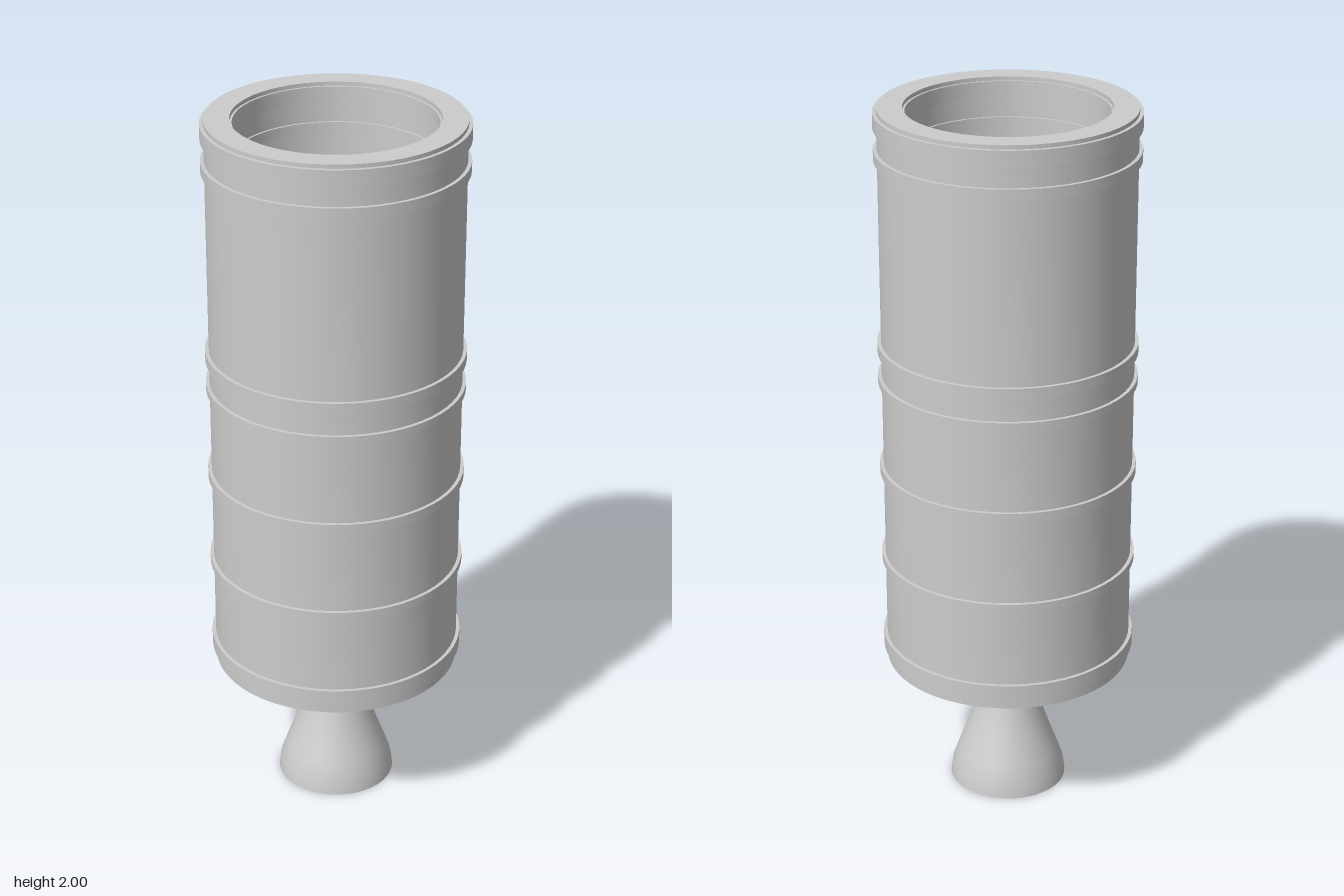
import * as THREE from 'three';
import { toCreasedNormals } from 'three/addons/utils/BufferGeometryUtils.js';

export function createModel() {
  const model = new THREE.Group();
  const grey = new THREE.MeshStandardMaterial({ color: 0xcccccc });
  grey.name = 'light grey';

  const add = (name, geometry, x = 0, y = 0, z = 0) => {
    const mesh = new THREE.Mesh(geometry, grey);
    mesh.name = name;
    mesh.position.set(x, y, z);
    model.add(mesh);
    return mesh;
  };
  // Revolve [radius, height] points, keeping hard corners crisp
  const revolve = (points, segments, crease) => toCreasedNormals(
    new THREE.LatheGeometry(points.map(([r, y]) => new THREE.Vector2(r, y)), segments), crease);

  // Thick open tube whose hoops stand proud on both the outside and the inside
  const OUT = 0.342, IN = 0.274, BAND_OUT = 0.352, BAND_IN = 0.268;
  const BOTTOM = 0.402, TOP = 2;
  const bands = [[0.435, 0.477], [0.706, 0.727], [0.971, 0.997], [1.236, 1.257],
    [1.324, 1.353], [1.86, 1.889], [1.947, 1.989]];
  const wall = (plain, raised) => [[plain, BOTTOM],
    ...bands.flatMap(([a, b]) => [[plain, a], [raised, a], [raised, b], [plain, b]]),
    [plain, TOP]];
  const shell = [...wall(OUT, BAND_OUT), ...wall(IN, BAND_IN).reverse(), [OUT, BOTTOM]];
  add('bandedTube', revolve(shell, 64, 0.6));

  // Bell nozzle with a thin wall and a closed, rounded crown
  const bell = [[0.165, 0], [0.16, 0.04], [0.143, 0.088], [0.124, 0.138], [0.102, 0.2],
    [0.087, 0.25], [0.075, 0.3], [0.069, 0.32], [0.06, 0.337], [0.047, 0.348]];
  const lining = bell.map(([r, y]) => [r - 0.01, Math.max(0, y - 0.008)]).reverse();
  add('nozzle', revolve([[0, 0.342], ...lining, ...bell, [0, 0.35]], 40, 0.7));

  // Gimbal: crossbeam, pivot rod and centre pin
  add('crossbeam', new THREE.BoxGeometry(0.234, 0.044, 0.058), 0, 0.4, 0);
  add('pivotRod', new THREE.CylinderGeometry(0.014, 0.014, 0.33, 16), 0, 0.404, 0)
    .rotation.z = Math.PI / 2;
  add('centrePin', new THREE.CylinderGeometry(0.004, 0.004, 0.04, 8), 0, 0.364, 0);

  // Nozzle legs and the stepped brackets on the inner wall
  for (const [side, s] of [['left', 1], ['right', -1]]) {
    add(side + 'Leg', new THREE.BoxGeometry(0.022, 0.1, 0.036), s * 0.073, 0.33, 0);
    add(side + 'WallBracket', new THREE.BoxGeometry(0.113, 0.24, 0.28), s * 0.2335, 1.0, 0);
    add(side + 'InnerBracket', new THREE.BoxGeometry(0.064, 0.28, 0.206), s * 0.152, 1.0, 0);
  }
  return model;
}
